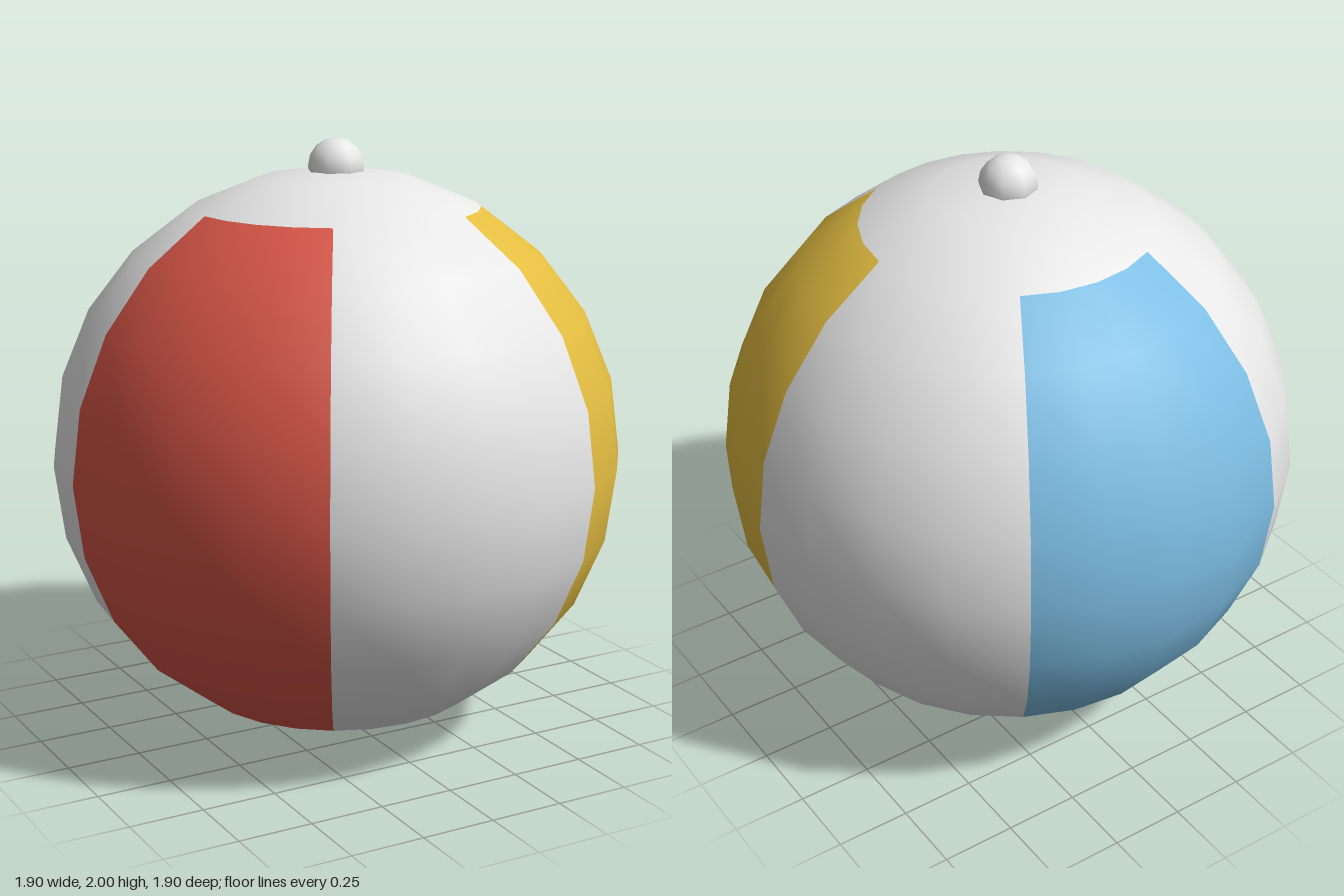
import * as THREE from 'three';

const R = 0.952;          // ball radius
const KNOB = 0.096;       // valve knob radius
const DEG = Math.PI / 180;

function material(name, color) {
  const m = new THREE.MeshStandardMaterial({ color });
  m.name = name;
  return m;
}

export function createModel() {
  const group = new THREE.Group();
  group.name = 'beachBall';

  const white = material('white', 0xf0f0f0);
  const red = material('red', 0xd85648);
  const yellow = material('yellow', 0xe3bd41);
  const blue = material('blue', 0x7cbde3);

  // A patch of the ball on a 15 degree grid, angles in degrees
  function patch(name, mat, phi, phiLength, theta, thetaLength) {
    const geometry = new THREE.SphereGeometry(
      R, phiLength / 15, thetaLength / 15,
      phi * DEG, phiLength * DEG, theta * DEG, thetaLength * DEG);
    const mesh = new THREE.Mesh(geometry, mat);
    mesh.name = name;
    mesh.position.y = R;
    group.add(mesh);
  }

  // Six side panels, coloured ones alternating with white
  const panels = [
    ['redPanel', red], ['whitePanelFront', white],
    ['yellowPanel', yellow], ['whitePanelBackLeft', white],
    ['bluePanel', blue], ['whitePanelBackRight', white],
  ];
  panels.forEach(([name, mat], i) => patch(name, mat, i * 60, 60, 30, 120));

  // White end caps
  patch('topCap', white, 0, 360, 0, 30);
  patch('bottomCap', white, 0, 360, 150, 30);

  // Valve knob half sunk into the top
  const knob = new THREE.Mesh(new THREE.SphereGeometry(KNOB, 8, 8), white);
  knob.name = 'valveKnob';
  knob.position.y = 2 * R;
  group.add(knob);

  return group;
}
